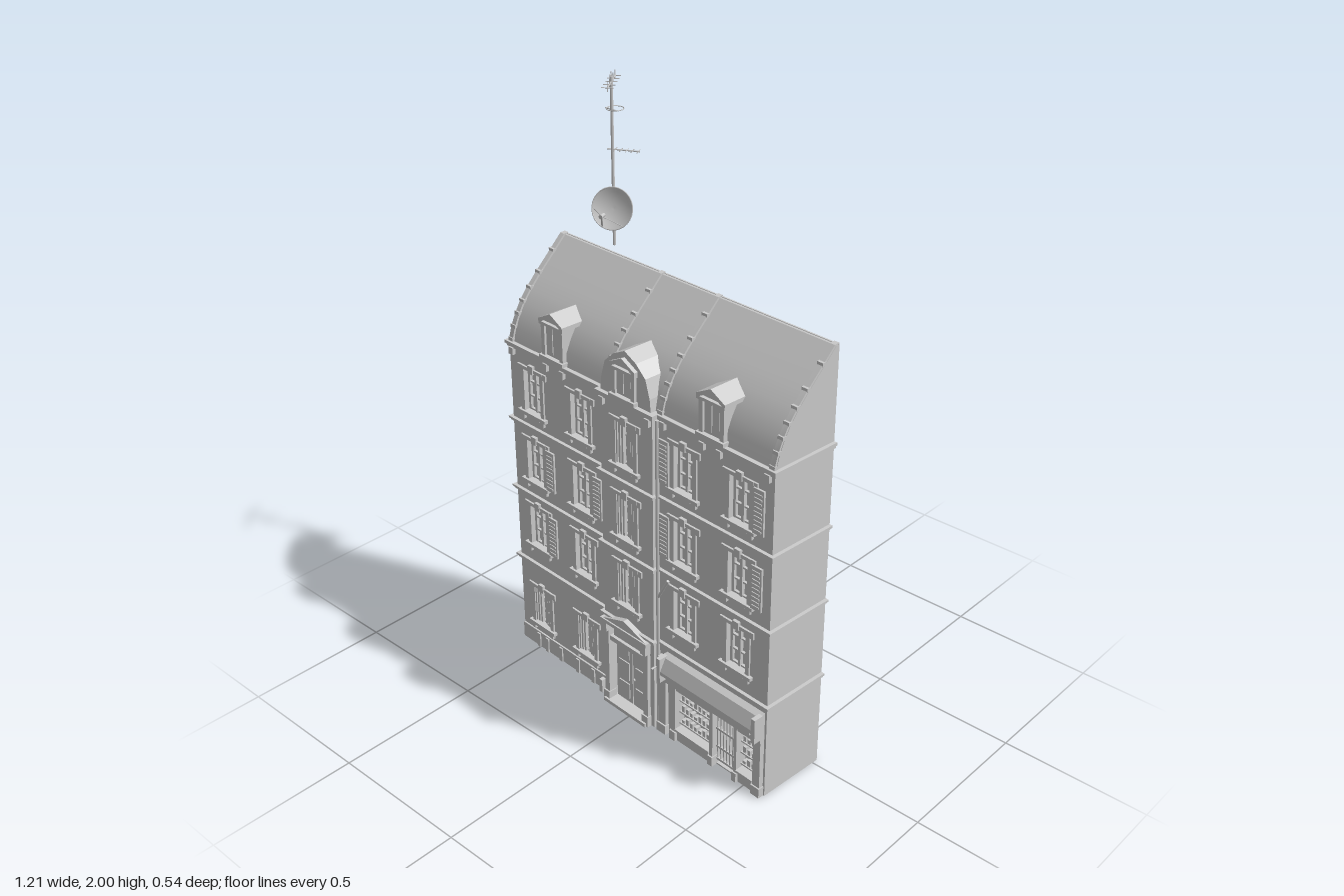
import * as THREE from 'three';
import { toCreasedNormals } from 'three/addons/utils/BufferGeometryUtils.js';

const mat = new THREE.MeshStandardMaterial({ color: 0xcccccc, side: THREE.DoubleSide });
const WALL = 0.245, BAY = 0.265, HALF = 0.5875;

function add(parent, name, geo, x = 0, y = 0, z = 0) {
  const m = new THREE.Mesh(geo, mat);
  m.name = name;
  m.position.set(x, y, z);
  parent.add(m);
  return m;
}

// Box given by its limits on each axis
function box(parent, name, x0, x1, y0, y1, z0, z1) {
  return add(parent, name, new THREE.BoxGeometry(x1 - x0, y1 - y0, z1 - z0), (x0 + x1) / 2, (y0 + y1) / 2, (z0 + z1) / 2);
}

const shapeOf = pts => new THREE.Shape(pts.map(p => new THREE.Vector2(...p)));

// Outline in (x, y), extruded from z0 to z1
function extrude(parent, name, shape, z0, z1) {
  return add(parent, name, new THREE.ExtrudeGeometry(shape, { depth: z1 - z0, bevelEnabled: false }), 0, 0, z0);
}

// Outline in (z, y), extruded from x0 to x1
function extrudeX(parent, name, pts, x0, x1) {
  const g = new THREE.ExtrudeGeometry(shapeOf(pts), { depth: x1 - x0, bevelEnabled: false });
  g.rotateY(-Math.PI / 2);
  return add(parent, name, toCreasedNormals(g, 0.5), x1, 0, 0);
}

// Round rod between two points
function rod(parent, name, a, b, r, sides = 6) {
  const p = new THREE.Vector3(...a), q = new THREE.Vector3(...b);
  const m = add(parent, name, new THREE.CylinderGeometry(r, r, p.distanceTo(q), sides));
  m.position.copy(p).add(q).multiplyScalar(0.5);
  m.quaternion.setFromUnitVectors(new THREE.Vector3(0, 1, 0), q.sub(p).normalize());
}

// Wall panel with rectangular openings [x0, x1, y0, y1]
function wallPanel(parent, name, x0, x1, y1, z0, z1, holes) {
  const rect = (a, b, c, d) => [[a, c], [b, c], [b, d], [a, d]];
  const s = shapeOf(rect(x0, x1, 0, y1));
  holes.forEach(h => s.holes.push(shapeOf(rect(...h))));
  extrude(parent, name, s, z0, z1);
}

// Casement window with surround, sill and optional open shutters (-1 right, 1 left)
function windowUnit(parent, x, y, h, z, opt = {}) {
  const g = new THREE.Group();
  g.name = 'window';
  g.position.set(x, y, z);
  parent.add(g);
  box(g, 'pane', -0.042, 0.042, 0, h, -0.028, -0.022);
  for (const s of [-1, 1]) {
    box(g, 'casementStile', s * 0.035 - 0.005, s * 0.035 + 0.005, 0, h, -0.022, -0.012);
    box(g, 'jamb', s * 0.048 - 0.008, s * 0.048 + 0.008, 0, h + 0.012, -0.005, 0.006);
    box(g, 'sillBracket', s * 0.048 - 0.008, s * 0.048 + 0.008, -0.03, -0.012, -0.005, 0.01);
    box(g, 'lintelEnd', s * 0.06 - 0.01, s * 0.06 + 0.01, h - 0.01, h + 0.012, -0.005, 0.006);
  }
  box(g, 'meetingStile', -0.005, 0.005, 0, h, -0.022, -0.01);
  for (const t of [0.02, 0.34, 0.68, 0.97]) box(g, 'glazingBar', -0.035, 0.035, t * h - 0.003, t * h + 0.003, -0.022, -0.013);
  box(g, 'lintel', -0.056, 0.056, h, h + 0.012, -0.005, 0.007);
  box(g, 'keystone', -0.012, 0.012, h - 0.004, h + 0.024, -0.005, 0.011);
  box(g, 'sill', -0.068, 0.068, -0.012, 0, -0.02, 0.014);
  box(g, 'apron', -0.03, 0.03, -0.022, -0.012, -0.005, 0.006);
  if (opt.inner) for (const s of [-1, 1]) for (let i = 0; i < 3; i++)
    box(g, 'foldedShutter', s * (0.016 + i * 0.011) - 0.004, s * (0.016 + i * 0.011) + 0.004, 0.004, h - 0.004, -0.014, -0.002 + i * 0.002);
  for (const s of opt.shutters || []) {
    const a = s * 0.08;
    box(g, 'shutter', a - 0.021, a + 0.021, 0, h, 0.004, 0.011);
    for (let i = 0; i < 9; i++) box(g, 'shutterSlat', a - 0.015, a + 0.015, h * (i + 0.7) / 10, h * (i + 1.1) / 10, 0.011, 0.014);
  }
}

// Gabled dormer standing on the mansard
function dormer(parent, x, z0, z1, w, yBase, yEave, yTop) {
  const g = new THREE.Group();
  g.name = 'dormer';
  g.position.x = x;
  parent.add(g);
  extrude(g, 'dormerBody', shapeOf([[-w, yBase], [w, yBase], [w, yEave], [0, yTop - 0.012], [-w, yEave]]), z0, z1 - 0.012);
  const e = w + 0.014;
  extrude(g, 'dormerRoof', shapeOf([[-e, yEave - 0.006], [-e, yEave + 0.008], [0, yTop], [e, yEave + 0.008], [e, yEave - 0.006], [0, yTop - 0.014]]), z0, z1);
  for (const s of [-1, 1]) {
    box(g, 'dormerPost', s * w - 0.008, s * w + 0.008, yBase, yEave, z1 - 0.02, z1 - 0.004);
    box(g, 'dormerSash', s * 0.016 - 0.013, s * 0.016 + 0.013, yBase + 0.02, yEave - 0.012, z1 - 0.014, z1 - 0.009);
  }
  box(g, 'dormerLintel', -e, e, yEave - 0.01, yEave, z1 - 0.02, z1);
  box(g, 'dormerSill', -e, e, yBase, yBase + 0.012, z1 - 0.02, z1 + 0.004);
}

function buildShop(p) {
  const Z = 0.262;
  box(p, 'shopBack', 0.13, 0.57, 0, 0.3, 0.205, 0.212);
  for (const [a, b] of [[0.125, 0.16], [0.185, 0.205], [0.36, 0.375], [0.468, 0.48], [0.55, 0.58]]) {
    box(p, 'shopPilaster', a, b, 0, 0.25, 0.22, Z);
    box(p, 'pilasterFoot', a - 0.003, b + 0.003, 0, 0.035, 0.22, Z + 0.005);
  }
  box(p, 'shopPanel', 0.16, 0.185, 0, 0.25, 0.22, 0.25);
  for (const [a, b] of [[0.205, 0.36], [0.48, 0.55]]) {
    box(p, 'stallRiser', a, b, 0, 0.04, 0.22, 0.257);
    box(p, 'shopSill', a, b, 0.04, 0.048, 0.22, 0.265);
    for (let r = 0; r < 3; r++) {
      const y = 0.06 + r * 0.045;
      box(p, 'shelf', a, b, y, y + 0.005, 0.212, 0.242);
      for (let x = a + 0.012, i = 0; x < b - 0.012; x += 0.019, i++)
        box(p, 'goods', x - 0.006, x + 0.006, y + 0.005, y + 0.016 + ((i * 7 + r * 3) % 4) * 0.004, 0.22, 0.238);
    }
    box(p, 'shopWindowHead', a, b, 0.2, 0.212, 0.22, 0.258);
  }
  // Glazed double door
  for (let i = 0; i < 7; i++) box(p, 'shopDoorBar', 0.379 + i * 0.0135, 0.383 + i * 0.0135, 0.02, 0.21, 0.22, 0.245);
  for (const y of [0.02, 0.07, 0.14, 0.205]) box(p, 'shopDoorRail', 0.375, 0.468, y, y + 0.008, 0.22, 0.246);
  // Fascia, cornice and sloping canopy
  box(p, 'shopFascia', 0.125, 0.58, 0.212, 0.3, 0.22, 0.264);
  box(p, 'fasciaPanel', 0.19, 0.54, 0.225, 0.25, 0.26, 0.27);
  extrudeX(p, 'shopCanopy', [[0.24, 0.255], [0.288, 0.255], [0.288, 0.268], [0.265, 0.31], [0.24, 0.322]], 0.15, 0.58);
  for (const x of [0.155, 0.572]) box(p, 'canopyBracket', x - 0.008, x + 0.008, 0.225, 0.315, 0.24, 0.29);
  rod(p, 'signArm', [0.14, 0.275, 0.25], [0.14, 0.275, 0.305], 0.004);
}

function buildEntrance(p) {
  const c = -0.013;
  box(p, 'doorBack', c - 0.088, c + 0.088, 0, 0.34, 0.225, 0.235);
  for (const s of [-1, 1]) {
    box(p, 'doorLeaf', c + s * 0.04 - 0.038, c + s * 0.04 + 0.038, 0.015, 0.25, 0.235, 0.247);
    for (const [a, b] of [[0.03, 0.09], [0.105, 0.175], [0.19, 0.238]])
      box(p, 'doorPanel', c + s * 0.04 - 0.025, c + s * 0.04 + 0.025, a, b, 0.245, 0.251);
    box(p, 'doorPilaster', c + s * 0.094 - 0.011, c + s * 0.094 + 0.011, 0, 0.325, 0.25, 0.278);
    box(p, 'pilasterFoot', c + s * 0.094 - 0.014, c + s * 0.094 + 0.014, 0, 0.04, 0.25, 0.283);
    box(p, 'doorConsole', c + s * 0.094 - 0.012, c + s * 0.094 + 0.012, 0.29, 0.33, 0.25, 0.288);
  }
  add(p, 'doorKnob', new THREE.SphereGeometry(0.005, 8, 6), c + 0.012, 0.125, 0.252);
  box(p, 'doorHead', c - 0.088, c + 0.088, 0.25, 0.268, 0.235, 0.272);
  box(p, 'transomPanel', c - 0.065, c + 0.065, 0.278, 0.312, 0.235, 0.27);
  box(p, 'doorEntablature', c - 0.11, c + 0.11, 0.325, 0.338, 0.25, 0.29);
  extrude(p, 'pediment', shapeOf([[c - 0.1, 0.338], [c + 0.1, 0.338], [c, 0.372]]), 0.25, 0.285);
  box(p, 'doorStep', c - 0.1, c + 0.1, 0, 0.013, 0.23, 0.29);
}

function buildAntenna(root) {
  const g = new THREE.Group();
  g.name = 'antenna';
  g.position.set(-0.453, 0, -0.205);
  root.add(g);
  rod(g, 'mast', [0, 1.43, 0], [0, 1.985, 0], 0.005, 8);
  // Upper aerial with cross elements and loops
  const at = (t, y) => [t * 0.57, y, t * 0.82];
  rod(g, 'upperBoom', at(-0.075, 1.968), at(0.075, 1.968), 0.0025);
  for (let i = 0; i < 5; i++) {
    const [x, y, z] = at(-0.07 + i * 0.035, 1.968);
    rod(g, 'upperElement', [x - 0.016, y, z + 0.011], [x + 0.016, y, z - 0.011], 0.0015, 4);
    rod(g, 'upperElement', [x, y - 0.012, z], [x, i === 2 ? 2 : y + 0.018, z], 0.0015, 4);
  }
  const loop = add(g, 'loopAerial', new THREE.TorusGeometry(0.028, 0.0016, 5, 20), 0, 1.88, -0.015);
  loop.rotation.x = Math.PI / 2;
  rod(g, 'loopBar', [-0.028, 1.88, 0], [0.025, 1.88, 0], 0.002);
  rod(g, 'lowerBoom', [-0.015, 1.752, 0.008], [0.08, 1.752, -0.04], 0.0025);
  for (let i = 0; i < 5; i++) {
    const x = 0.008 + i * 0.017;
    rod(g, 'lowerElement', [x - 0.008, 1.752, -x / 2 - 0.016], [x + 0.008, 1.752, -x / 2 + 0.016], 0.0015, 4);
  }
  // Dish opens along its own +y, then is tipped to look forward and up
  const dish = new THREE.Group();
  dish.name = 'satelliteDish';
  dish.position.set(0.018, 1.565, 0.022);
  dish.quaternion.setFromUnitVectors(new THREE.Vector3(0, 1, 0), new THREE.Vector3(0.42, 0.3, 0.85).normalize());
  g.add(dish);
  const prof = [0, 0.2, 0.4, 0.6, 0.8, 1].map(t => new THREE.Vector2(t * 0.068, t * t * 0.016 - 0.008));
  add(dish, 'dishBowl', new THREE.LatheGeometry(prof, 28));
  const rim = add(dish, 'dishRim', new THREE.TorusGeometry(0.068, 0.002, 5, 28), 0, 0.008, 0);
  rim.rotation.x = Math.PI / 2;
  rod(dish, 'feedArm', [0, 0.006, 0.066], [0, 0.08, 0.025], 0.003);
  for (const s of [-1, 1]) rod(dish, 'feedStay', [s * 0.06, 0.008, 0.03], [0, 0.08, 0.025], 0.0012, 4);
  rod(dish, 'feedHorn', [0, 0.085, 0.028], [0, 0.066, 0.02], 0.007, 8);
  rod(g, 'dishMount', [0, 1.555, 0], [0.012, 1.56, 0.014], 0.009, 8);
  box(g, 'junctionBox', -0.01, 0.01, 1.5, 1.525, -0.018, 0.004);
}

export function createModel() {
  const root = new THREE.Group();
  root.name = 'townhouse';
  const b = new THREE.Group();
  b.name = 'building';
  b.position.set(0.01, 0, -0.06);
  b.rotation.y = -0.068;
  root.add(b);

  // Hollow shell: back, sides and three pierced front panels
  box(b, 'backWall', -HALF, HALF, 0, 1.475, 0, 0.006);
  for (const s of [-1, 1]) box(b, 'sideWall', s * (HALF - 0.004) - 0.004, s * (HALF - 0.004) + 0.004, 0, 1.165, 0, WALL);
  const rows = [0.425, 0.68, 0.94], H = 0.15;
  const hole = (x, y, h = H) => [x - 0.04, x + 0.04, y, y + h];
  const leftX = [-0.476, -0.243], rightX = [0.226, 0.457], mid = -0.011;
  const holesFor = xs => xs.flatMap(x => rows.map(y => hole(x, y)));
  wallPanel(b, 'leftFront', -HALF, -0.125, 1.165, WALL - 0.03, WALL, [...holesFor(leftX), ...leftX.map(x => hole(x, 0.1, 0.145))]);
  wallPanel(b, 'bayFront', -0.125, 0.11, 1.165, BAY - 0.05, BAY, [...holesFor([mid]), [-0.1, 0.075, 0.005, 0.32]]);
  wallPanel(b, 'rightFront', 0.11, HALF, 1.165, WALL - 0.03, WALL, [...holesFor(rightX), [0.135, 0.57, 0.005, 0.28]]);

  // Windows, with shutters folded back on some of them
  const shutters = { '0,1': [1], '1,1': [1], '2,1': [-1], '3,1': [1], '0,0': [1], '3,2': [1], '2,2': [-1] };
  [...leftX, ...rightX].forEach((x, i) => rows.forEach((y, j) => windowUnit(b, x, y, H, WALL, { shutters: shutters[i + ',' + j] })));
  rows.forEach(y => windowUnit(b, mid, y, H, BAY, { inner: true }));
  leftX.forEach(x => windowUnit(b, x, 0.1, 0.145, WALL, { inner: true }));

  // String courses and main cornice, stepping out round the bay
  for (const [y, t] of [[0.343, 0.008], [0.62, 0.007], [0.883, 0.007], [1.158, 0.01]]) {
    for (const [k, o] of [[0, 0.007], [1, 0.012]]) {
      const y0 = y - t + k * t, y1 = y0 + t;
      box(b, 'stringCourse', -HALF - o, HALF + o, y0, y1, WALL - 0.02, WALL + o);
      box(b, 'bayCourse', -0.125 - o, 0.11 + o, y0, y1, BAY - 0.03, BAY + o);
      for (const s of [-1, 1]) box(b, 'sideCourse', s * HALF - o, s * HALF + o, y0, y1, 0, WALL);
    }
  }
  for (const x of [-0.57, -0.4, -0.32, -0.15, 0.14, 0.305, 0.375, 0.565]) box(b, 'corniceBracket', x - 0.01, x + 0.01, 1.125, 1.15, WALL - 0.005, WALL + 0.012);
  for (const x of [-0.11, 0.095]) box(b, 'corniceBracket', x - 0.01, x + 0.01, 1.125, 1.15, BAY - 0.005, BAY + 0.012);
  rod(b, 'drainpipe', [0.122, 0, 0.257], [0.122, 1.15, 0.257], 0.006, 8);
  rod(b, 'pipeBranch', [0.122, 0.52, 0.257], [0.165, 0.6, 0.254], 0.005, 8);

  // Plinth with cellar vents
  box(b, 'plinth', -HALF, -0.125, 0, 0.06, WALL - 0.01, WALL + 0.006);
  for (const x of [-0.5, -0.455, -0.38, -0.29, -0.21]) box(b, 'plinthPier', x - 0.008, x + 0.008, 0, 0.055, WALL, WALL + 0.011);
  box(b, 'bollard', -0.162, -0.147, 0, 0.05, WALL, 0.268);
  buildEntrance(b);
  buildShop(b);

  // Curved mansard roof with raised party ribs
  const slope = [[0.242, 1.168], [0.23, 1.21], [0.212, 1.25], [0.19, 1.287], [0.16, 1.325], [0.12, 1.367], [0.06, 1.425], [0.012, 1.472]];
  extrudeX(b, 'mansardRoof', [[0, 1.165], ...slope, [0, 1.475]], -HALF, HALF);
  for (const x of [-0.577, -0.12, 0.125, 0.577]) {
    extrudeX(b, 'roofRib', [[0, 1.165], ...slope.map(([z, y]) => [z + 0.006, y + 0.004]), [0, 1.478]], x - 0.009, x + 0.009);
    for (let i = 0; i < slope.length - 1; i++) {
      const [z, y] = slope[i];
      box(b, 'ribClip', x - 0.011, x + 0.011, y, y + 0.012, z - 0.008, z + 0.007);
    }
  }

  // Side dormers and the arched dormer over the bay
  dormer(b, -0.36, 0.13, 0.258, 0.043, 1.17, 1.297, 1.335);
  dormer(b, 0.344, 0.13, 0.258, 0.043, 1.17, 1.297, 1.335);
  const arch = [[0.112, 1.168], [0.108, 1.21], [0.09, 1.27], [0.05, 1.307]];
  extrude(b, 'archedDormer', shapeOf([...arch, [0, 1.332], ...arch.map(([x, y]) => [-x, y]).reverse()]), 0.12, 0.262).position.x = mid;
  dormer(b, mid, 0.2, 0.276, 0.043, 1.17, 1.275, 1.312);

  buildAntenna(root);
  return root;
}
